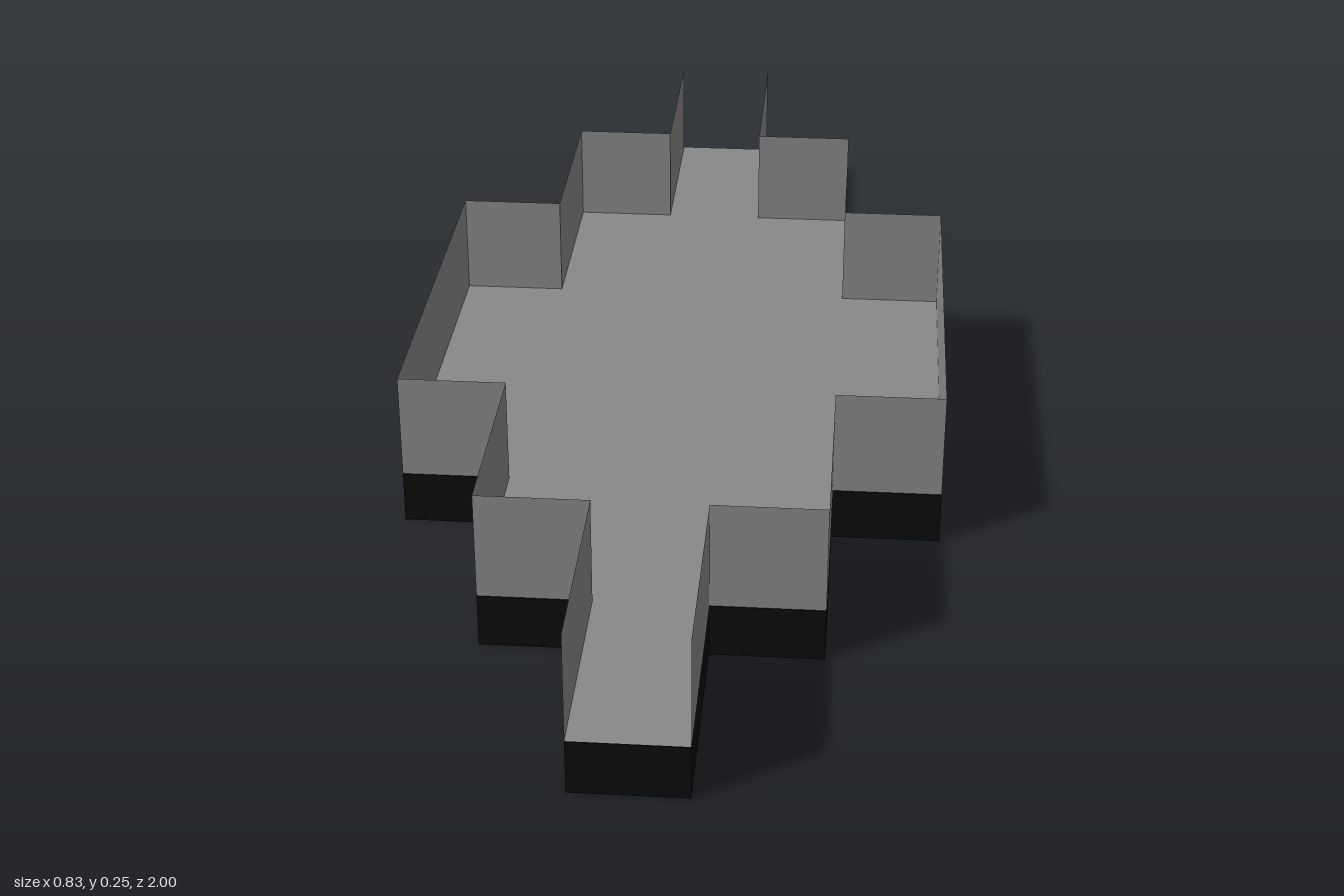
import * as THREE from 'three';

const FLOOR = 1 / 12, TOP = 1 / 4;

export function createModel() {
  const model = new THREE.Group();
  model.name = 'steppedTray';

  const grey = new THREE.MeshStandardMaterial({ color: 0x888888, side: THREE.DoubleSide });
  grey.name = 'grey';
  const black = new THREE.MeshStandardMaterial({ color: 0x0a0a0a });
  black.name = 'black';

  // Stepped plan: one quarter (half width, z), mirrored to all four
  const quarter = [[5 / 12, 0], [5 / 12, 1 / 3], [1 / 4, 1 / 3], [1 / 4, 2 / 3], [1 / 12, 2 / 3], [1 / 12, 1]];
  const side = [...quarter.slice(1).reverse().map(([x, z]) => [x, -z]), ...quarter.slice(1)];
  const outline = [...side, ...side.map(([x, z]) => [-x, -z])];
  const shape = new THREE.Shape(outline.map(([x, z]) => new THREE.Vector2(x, z)));

  // Solid dark base
  const baseGeometry = new THREE.ExtrudeGeometry(shape, { depth: FLOOR - 0.001, bevelEnabled: false });
  baseGeometry.rotateX(-Math.PI / 2);
  const base = new THREE.Mesh(baseGeometry, black);
  base.name = 'base';
  model.add(base);

  // Grey floor sheet on top of the base
  const floor = new THREE.Mesh(new THREE.ShapeGeometry(shape).rotateX(-Math.PI / 2), grey);
  floor.name = 'floor';
  floor.position.y = FLOOR;
  model.add(floor);

  // Thin upright walls along both stepped sides; the narrow ends stay open
  const walls = new THREE.Group();
  walls.name = 'walls';
  for (const mirror of [1, -1]) {
    for (let i = 0; i < side.length - 1; i++) {
      const [x0, z0] = side[i], [x1, z1] = side[i + 1];
      const dx = (x1 - x0) * mirror, dz = z1 - z0;
      const panel = new THREE.Mesh(new THREE.PlaneGeometry(Math.hypot(dx, dz), TOP - FLOOR), grey);
      panel.name = mirror > 0 ? 'leftWallPanel' : 'rightWallPanel';
      panel.position.set(mirror * (x0 + x1) / 2, (TOP + FLOOR) / 2, (z0 + z1) / 2);
      panel.rotation.y = Math.atan2(-dz, dx) + (mirror > 0 ? Math.PI : 0);
      walls.add(panel);
    }
  }
  model.add(walls);
  return model;
}
